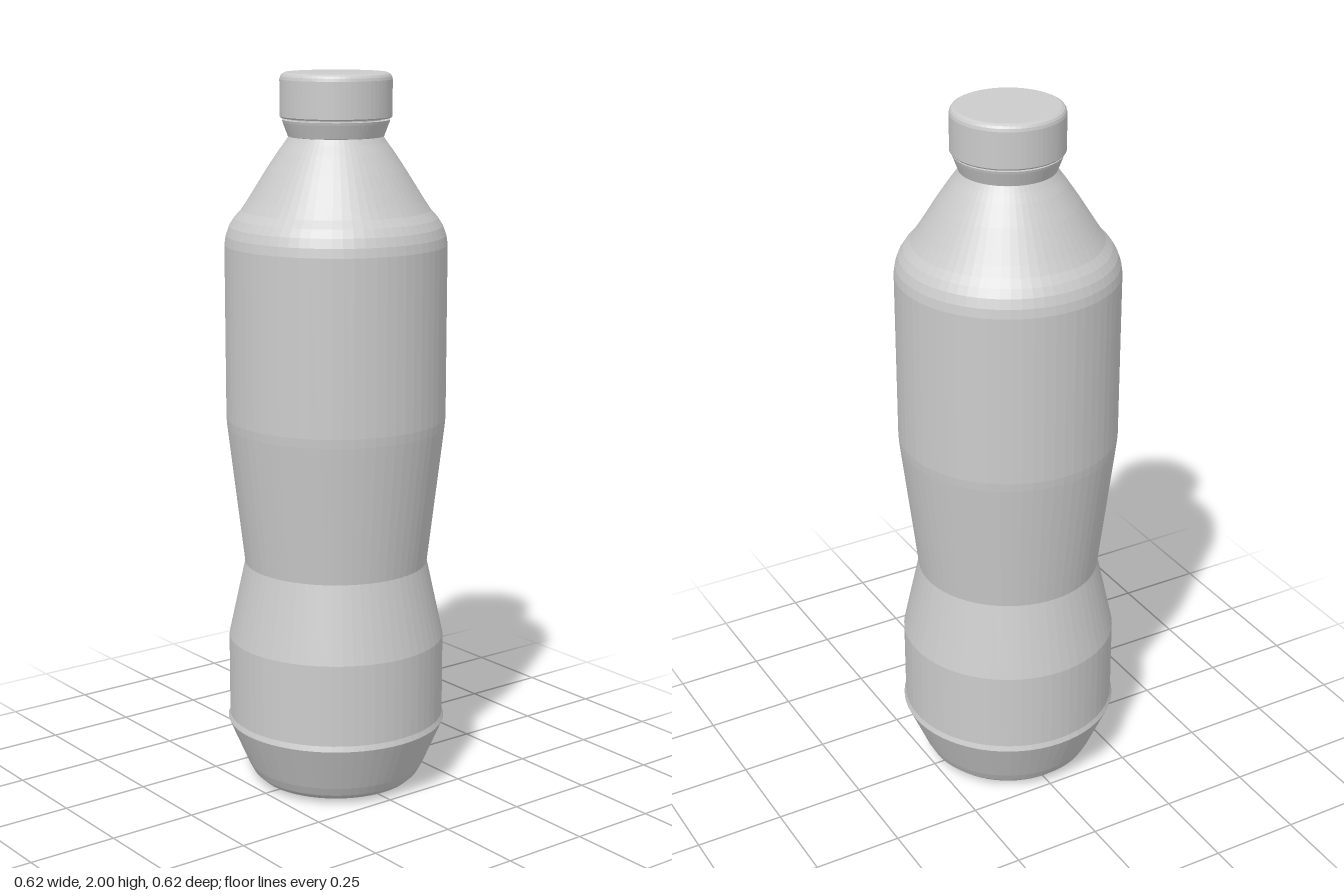
import * as THREE from 'three';

const SEGMENTS = 64;

// Turns a list of [radius, height] points, bottom to top, into a faceted solid
function turned(name, profile) {
  const points = profile.map(([r, y]) => new THREE.Vector2(r, y));
  const material = new THREE.MeshStandardMaterial({
    color: 0xcccccc, flatShading: true, side: THREE.DoubleSide,
  });
  const mesh = new THREE.Mesh(new THREE.LatheGeometry(points, SEGMENTS), material);
  mesh.name = name;
  return mesh;
}

export function createModel() {
  const bottle = new THREE.Group();
  bottle.name = 'bottle';

  // Body: dimpled base, waisted grip, straight upper wall, sloping shoulder, neck
  bottle.add(turned('body', [
    [0, 0.035], [0.06, 0.03], [0.12, 0.015], [0.14, 0.005], [0.17, 0],
    [0.2, 0.005], [0.222, 0.014], [0.238, 0.029], [0.252, 0.055],
    [0.308, 0.185], [0.303, 0.2],
    [0.303, 0.43], [0.256, 0.645], [0.302, 1.035], [0.304, 1.06],
    [0.304, 1.54], [0.3, 1.565], [0.291, 1.59], [0.277, 1.612], [0.258, 1.633],
    [0.24, 1.66], [0.19, 1.74], [0.155, 1.792], [0.138, 1.815], [0.128, 1.83],
    [0.125, 1.84], [0.125, 1.93],
  ]));

  // Flared sealing ring below the cap
  bottle.add(turned('sealRing', [
    [0.124, 1.829], [0.13, 1.831], [0.144, 1.868], [0.146, 1.875], [0.124, 1.875],
  ]));

  // Screw cap with a rounded top edge
  bottle.add(turned('cap', [
    [0.124, 1.88], [0.149, 1.88], [0.152, 1.884], [0.152, 1.982],
    [0.15, 1.99], [0.146, 1.996], [0.138, 2], [0, 2],
  ]));

  return bottle;
}
